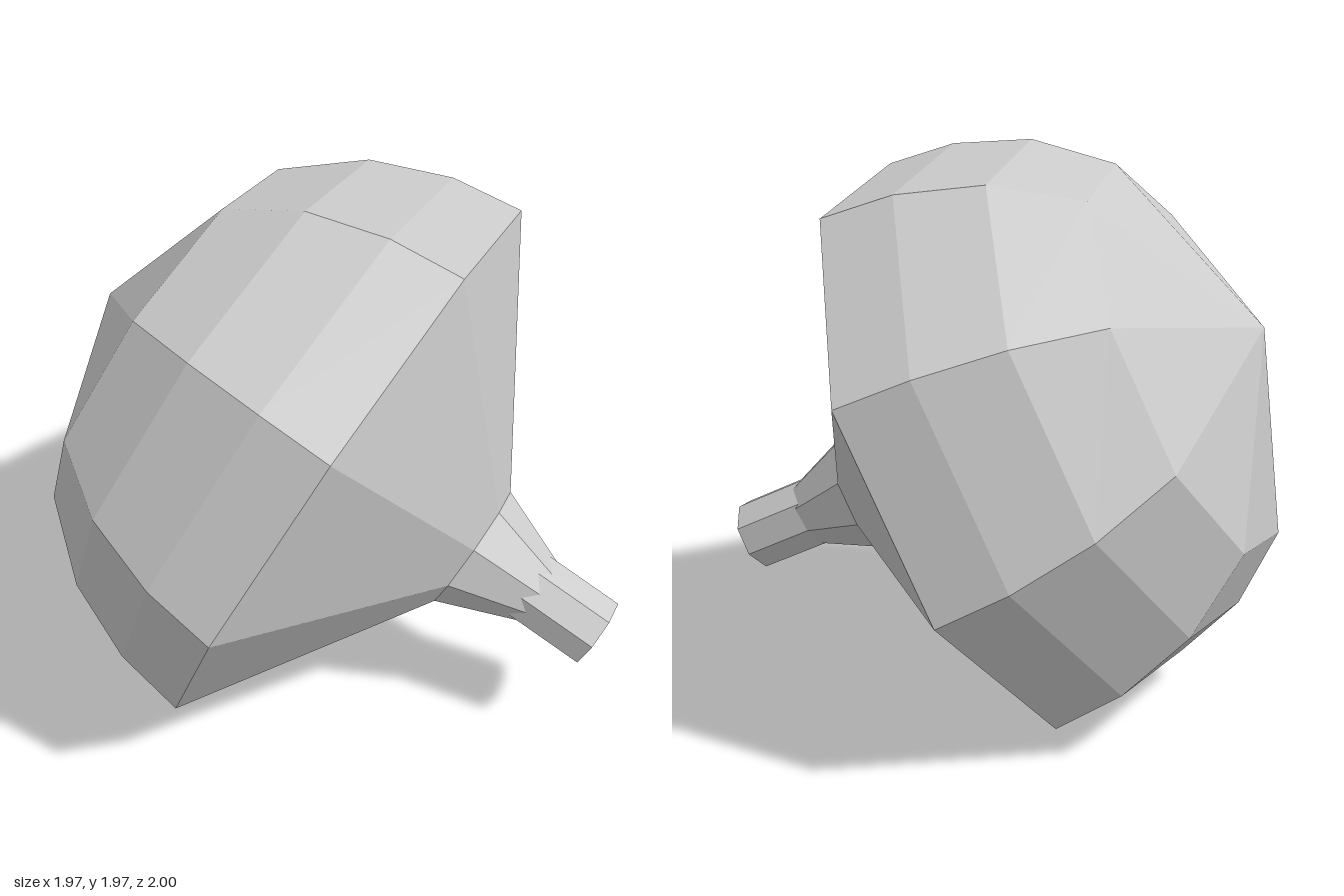
import * as THREE from 'three';

const material = new THREE.MeshStandardMaterial({ color: 0xcccccc, flatShading: true });

// Faceted solid of revolution; profile is [radius, height along the axis]
function turned(name, profile, sides, twist = 0) {
  const points = profile.map(([r, h]) => new THREE.Vector2(r, h));
  const mesh = new THREE.Mesh(new THREE.LatheGeometry(points, sides, twist), material);
  mesh.name = name;
  return mesh;
}

export function createModel() {
  const tilted = new THREE.Group();
  tilted.name = 'tiltedBody';

  // Rounded dome, from its tip to the wide rim
  tilted.add(turned('dome', [[0, -1.05], [0.706, -0.78], [0.91, -0.532], [1.02, -0.256], [1.058, 0]], 9));
  // Conical underside, from the rim in to the neck
  tilted.add(turned('underside', [[1.058, 0], [0.237, 0.526]], 9));
  // Tapered neck that runs into the stem
  tilted.add(turned('neck', [[0.237, 0.526], [0.115, 0.83]], 9));
  // Stem with a hollowed end, its sides out of step with the neck
  tilted.add(turned('stem', [[0.135, 0.6], [0.135, 1.055], [0, 0.95]], 8, Math.PI / 9));

  // Lay the axis over to the side, with one rim corner pointing along "corner"
  const axis = new THREE.Vector3(0.824, -0.44, -0.358).normalize();
  const corner = new THREE.Vector3(0.595, 0.602, 0.635).projectOnPlane(axis).normalize();
  const across = new THREE.Vector3().crossVectors(axis, corner);
  tilted.quaternion.setFromRotationMatrix(new THREE.Matrix4().makeBasis(across, axis, corner));
  tilted.position.set(0.045, 0.938, -0.035);

  const model = new THREE.Group();
  model.name = 'model';
  model.add(tilted);
  return model;
}
